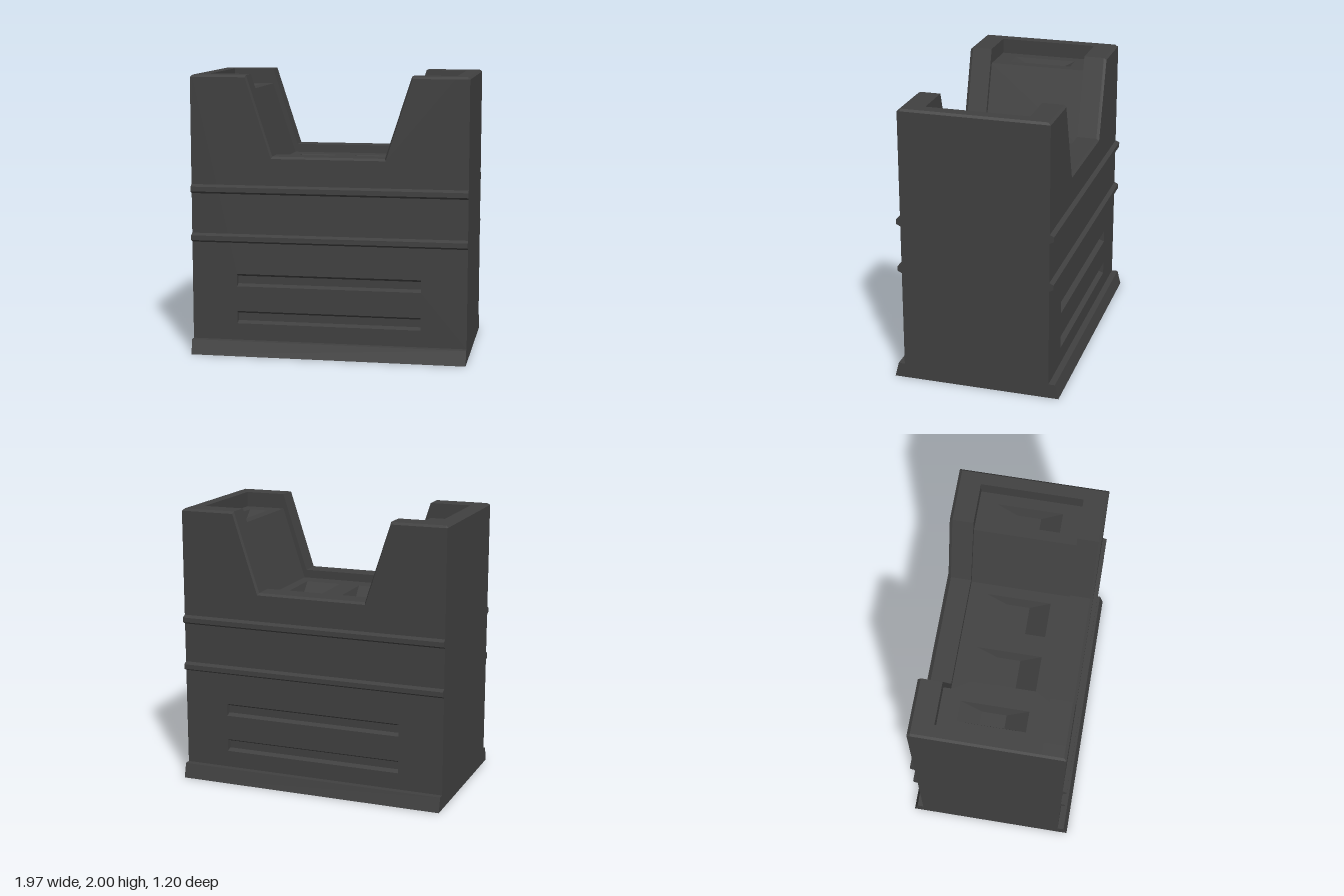
import * as THREE from 'three';
import { mergeGeometries } from 'three/addons/utils/BufferGeometryUtils.js';

const W = 0.985, D = 0.527, RIM = 0.36, BASE = 0.105, C = 0.015;
const TOP = 2, VALLEY = 1.43, POST_FLOOR = 1.89, VALLEY_FLOOR = 1.37;

// Flat-faced strips between successive rows of [x, y, z] points
function loft(rows) {
  const pos = [];
  for (let r = 0; r + 1 < rows.length; r++) {
    for (let i = 0; i + 1 < rows[r].length; i++) {
      const a = rows[r][i], b = rows[r][i + 1], c = rows[r + 1][i + 1], d = rows[r + 1][i];
      pos.push(...a, ...b, ...c, ...a, ...c, ...d);
    }
  }
  const g = new THREE.BufferGeometry();
  g.setAttribute('position', new THREE.Float32BufferAttribute(pos, 3));
  g.computeVertexNormals();
  return g;
}

const atZ = (profile, z) => profile.map(([x, y]) => [x, y, z]);
const mirrored = half => [...half, ...half.map(([x, y]) => [-x, y]).reverse()];
const rect = (x0, y0, x1, y1) => [[x0, y0], [x1, y0], [x1, y1], [x0, y1]];
const toShape = pts => new THREE.Shape(pts.map(p => new THREE.Vector2(...p)));

// Flat panel facing +z with tapered pockets sunk into it
function panel(outline, pockets = []) {
  const shape = toShape(outline);
  const parts = [];
  for (const { outer, inner, depth } of pockets) {
    shape.holes.push(toShape(outer));
    parts.push(loft([atZ([...outer, outer[0]], 0), atZ([...inner, inner[0]], -depth)]));
    const [a, b, c, d] = atZ(inner, -depth);
    parts.push(loft([[a, b], [d, c]]));
  }
  const face = new THREE.ShapeGeometry(shape).toNonIndexed();
  face.deleteAttribute('uv');
  return mergeGeometries([face, ...parts]);
}

// Cross-section in (z, y) run along the full width
function alongWidth(section) {
  return new THREE.ExtrudeGeometry(toShape(section), { depth: 2 * W, bevelEnabled: false })
    .rotateY(-Math.PI / 2).translate(W, 0, 0);
}

export function createModel() {
  const model = new THREE.Group();
  const charcoal = new THREE.MeshStandardMaterial({ color: 0x404040 });
  charcoal.name = 'charcoal';

  const add = (name, geometry) => {
    const mesh = new THREE.Mesh(geometry, charcoal);
    mesh.name = name;
    model.add(mesh);
  };
  // Same part on opposite sides
  const addPair = (a, b, geometry) => {
    add(a, geometry);
    add(b, geometry.clone().rotateY(Math.PI));
  };

  // Notched outlines: at the wall face, at the rim, and of the sunken floor
  const face = mirrored([[-W, TOP - C], [-W + C, TOP - C], [-0.885, TOP - C], [-0.59, TOP - C], [-0.407, VALLEY - C]]);
  const rim = mirrored([[-W, TOP - C], [-W + C, TOP], [-0.885, TOP], [-0.585, TOP], [-0.4, VALLEY]]);
  const floor = mirrored([[-0.885, POST_FLOOR], [-0.585, POST_FLOOR], [-0.415, VALLEY_FLOOR]]);

  // Base plinth
  add('base', alongWidth([[-0.6, 0], [0.6, 0], [0.573, BASE], [-0.573, BASE]]));

  // Front and back walls with two long slots
  const slots = [0.225, 0.495].map(y => ({
    outer: rect(-0.66, y, 0.66, y + 0.09),
    inner: rect(-0.66, y + 0.015, 0.66, y + 0.07),
    depth: 0.04,
  }));
  const wallOutline = [[-W, BASE], [W, BASE], ...[...face].reverse()];
  addPair('frontWall', 'backWall', panel(wallOutline, slots).translate(0, 0, D));

  // Side walls
  addPair('leftWall', 'rightWall', panel(rect(-D, BASE, D, TOP - C)).rotateY(Math.PI / 2).translate(W, 0, 0));

  // Chamfered rim and its inner walls
  addPair('frontRim', 'backRim', mergeGeometries([
    loft([atZ(face, D), atZ(rim, D - 0.02), atZ(rim, RIM)]),
    loft([atZ(rim.slice(2, -2), RIM), atZ(floor, RIM)]),
  ]));
  const endRim = [[-W, TOP - C], [-W + C, TOP], [-0.885, TOP], [-0.885, POST_FLOOR]];
  addPair('rightRim', 'leftRim', loft([atZ(endRim, RIM), atZ(endRim, -RIM)]));

  // Sloping sides of the notch
  const slope = floor.slice(1, 3);
  addPair('rightSlope', 'leftSlope', loft([atZ(slope, RIM), atZ(slope, -RIM)]));

  // Sunken floors with tapered pits
  const pit = (x0, x1) => ({
    outer: rect(x0, -0.232, x1, 0.232),
    inner: rect(x0 + 0.025, -0.083, x1 - 0.025, 0.083),
    depth: 0.08,
  });
  const sunken = (x0, x1, y, pits) =>
    panel(rect(x0, -RIM, x1, RIM), pits).rotateX(-Math.PI / 2).translate(0, y, 0);
  addPair('rightPostFloor', 'leftPostFloor', sunken(-0.885, -0.585, POST_FLOOR, [pit(-0.805, -0.66)]));
  add('notchFloor', sunken(-0.415, 0.415, VALLEY_FLOOR, [pit(-0.338, -0.077), pit(0.077, 0.338)]));

  // Horizontal ribs on the front and back
  [0.81, 1.16].forEach((y, i) => {
    const name = i ? 'Upper' : 'Lower';
    addPair(`front${name}Rib`, `back${name}Rib`,
      alongWidth([[D - 0.01, y], [D, y], [D + 0.03, y + 0.016], [D + 0.03, y + 0.05], [D, y + 0.065], [D - 0.01, y + 0.065]]));
  });

  return model;
}
